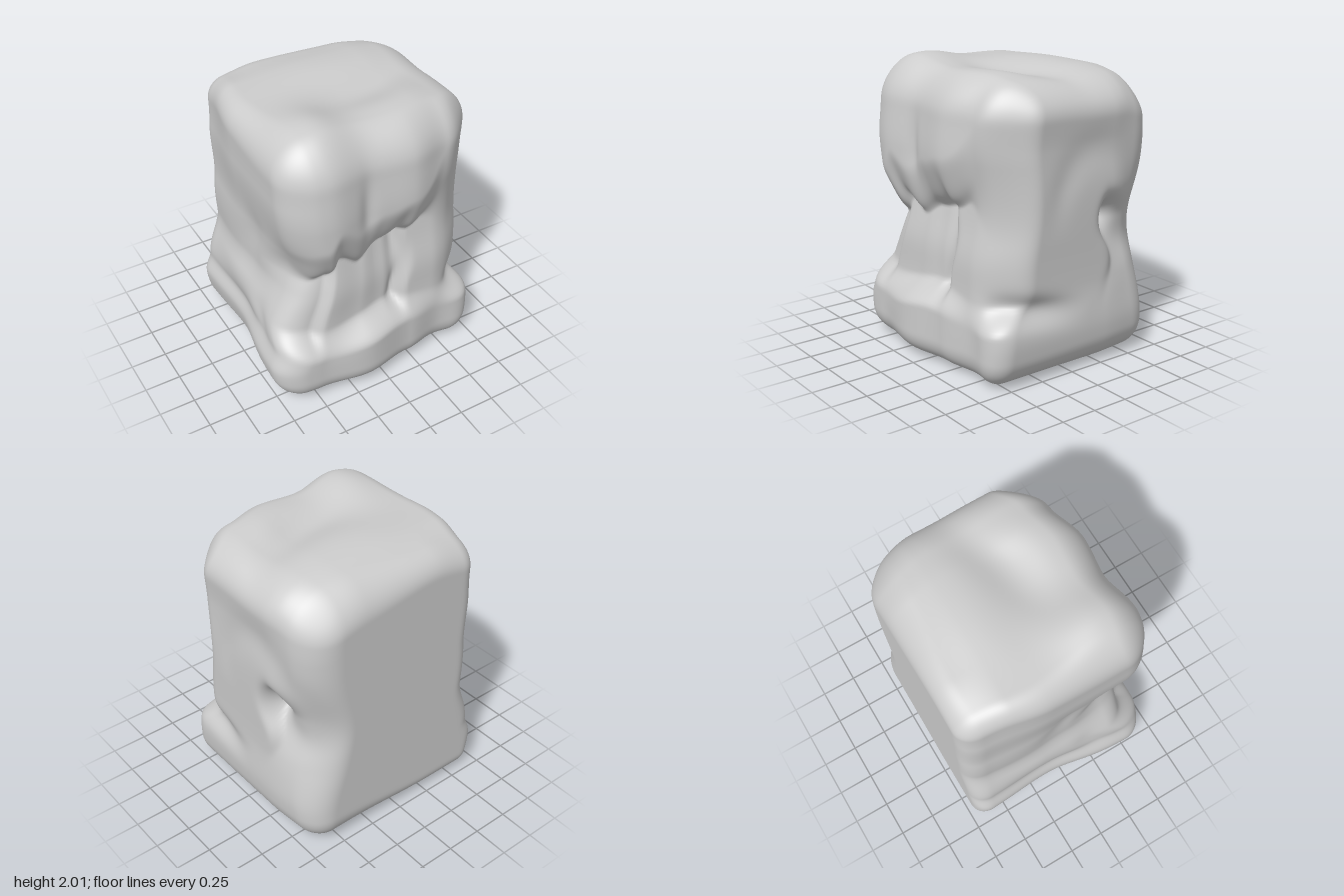
import * as THREE from 'three';
import { mergeVertices } from 'three/addons/utils/BufferGeometryUtils.js';

const H = 0.72; // half width and depth of the undeformed block
const step = THREE.MathUtils.smoothstep;
const mix = THREE.MathUtils.lerp;
const bell = (d, s) => Math.exp(-(d * d) / (s * s));
const skew = (d, neg, pos) => bell(d, d < 0 ? neg : pos);

// Smooth interpolation through [position, value] pairs
function curve(points) {
  return (t) => {
    if (t <= points[0][0]) return points[0][1];
    for (let i = 1; i < points.length; i++) {
      const [a, va] = points[i - 1], [b, vb] = points[i];
      if (t <= b) return mix(va, vb, step(t, a, b));
    }
    return points[points.length - 1][1];
  };
}

// Side widths by height
const leftward = curve([[0, 0.74], [0.27, 0.785], [0.42, 0.74], [0.8, 0.62], [1.1, 0.63], [1.55, 0.68], [1.9, 0.69]]);
const rightward = curve([[0, 0.75], [0.3, 0.775], [0.6, 0.755], [1.2, 0.77], [1.5, 0.765], [1.8, 0.785]]);

// Front relief by x: foot ledge, recessed panel with pillar, overhanging brow
const ledge = curve([[-0.72, 0.66], [-0.45, 0.68], [-0.13, 0.73], [0.2, 0.67], [0.45, 0.62], [0.68, 0.65]]);
const panel = curve([[-0.7, 0.5], [-0.52, 0.5], [-0.42, 0.56], [-0.15, 0.54], [0.06, 0.51], [0.13, 0.49], [0.21, 0.56], [0.4, 0.56], [0.72, 0.45]]);
const brow = curve([[-0.7, 0.63], [-0.4, 0.685], [-0.1, 0.64], [0.18, 0.67], [0.45, 0.6], [0.72, 0.46]]);
const lip = curve([[-0.65, 0.95], [-0.5, 0.98], [-0.37, 1.1], [-0.2, 1.02], [0, 1.1], [0.2, 1.14], [0.5, 1.3]]);

function frontDepth(x, y) {
  const drop = 0.03 * step(y, 1.4, 1.75) + 0.05 * step(y, 1.65, 1.95);
  const crease = 0.025 * bell(x + 0.14, 0.06) * bell(y - 1.42, 0.2);
  const upper = brow(x) - drop - crease;
  // Groove curling down beside the pillar
  const gx = 0.13 + 0.06 * Math.sin((y - 0.6) * 6);
  const groove = 0.04 * bell(x - gx, 0.04) * bell(y - 0.8, 0.25);
  const lower = panel(x) + (0.75 - y) * 0.12 + 0.02 * bell(y - 0.78, 0.18) - groove;
  // Rounded underside of the brow, melting into the pillar on the right
  const fade = step(x, 0.3, 0.55);
  const over = step(y, lip(x) - 0.05 - 0.35 * fade, lip(x) + 0.28 + 0.15 * fade);
  const body = mix(lower, upper, Math.pow(over, mix(0.6, 1, fade)));
  const seam = 0.46 + 0.025 * Math.sin(x * 7 + 1);
  return mix(ledge(x), body, step(y, seam - 0.09, seam + 0.09));
}

// Rounds the box edges, more strongly at the front and the rear right corner
function roundPoint(p, half) {
  const rear = mix(0.15, 0.24, step(p.x, -0.3, 0.5));
  const r = mix(rear, 0.22, step(p.z, -0.4, 0.4)) * mix(0.75, 1, step(p.y, -0.9, -0.3));
  const core = p.clone();
  for (const k of ['x', 'y', 'z']) core[k] = THREE.MathUtils.clamp(p[k], r - half[k], half[k] - r);
  return p.sub(core).setLength(r).add(core);
}

function deform(p) {
  let { x, y, z } = p;
  const front = (z + H) / (2 * H);
  const x0 = x, y0 = y, z0 = z;

  // Front surface, with the brow sagging over the recess
  z += Math.pow(front, 1.6) * (frontDepth(x0, y0) - H);
  const sag = 0.045 * bell(y0 - lip(x0) - 0.07, 0.09) * (1 - step(x0, 0.2, 0.5));
  y -= sag * step(z0, 0.45, 0.7);

  // Waisted sides and corners
  const waist = bell(y0 - 0.9, 0.32);
  if (x0 < 0) {
    const rear = (0.045 + 0.03 * step(y0, 1.2, 1.8)) * step(-z0, 0.1, 0.65);
    const foot = 0.08 * (1 - step(y0, 0.35, 0.65)) * bell(z0 + 0.12, 0.35);
    const cheek = 0.1 * bell(y0 - 0.98, 0.2) * step(z0, 0.15, 0.65);
    x *= (leftward(y0) + 0.04 * waist * step(-z0, -0.1, 0.5) - rear - foot - cheek) / H;
  } else {
    const rear = (0.14 * waist + 0.03 + 0.06 * step(y0, 1.5, 1.9)) * step(-z0, 0.25, 0.7);
    x *= (rightward(y0) - rear) / H;
  }

  // Right side: curled hollow, foot seam and shallow swell
  const side = step(x0, 0.45, 0.7);
  const edge = -0.17 - 0.1 * bell(y0 - 0.72, 0.16);
  const hollow = 0.13 * skew(z0 - edge + 0.07, 0.2, 0.065) * skew(y0 - 0.96, 0.25, 0.13);
  const pit = 0.08 * bell(z0 + 0.25, 0.09) * bell(y0 - 1.02, 0.1);
  const footSeam = 0.06 * bell(y0 - 0.47 - 0.15 * (z0 - 0.35), 0.08) * step(z0, -0.1, 0.5);
  const swirl = 0.015 * bell(Math.hypot(z0 + 0.1, y0 - 1.05) - 0.42, 0.13) * step(y0, 0.9, 1.3);
  x -= side * (hollow + pit + footSeam + swirl);

  // Left side: faint pits
  const leftSide = step(-x0, 0.45, 0.7);
  x += leftSide * 0.02 * (bell(z0 - 0.1, 0.15) * bell(y0 - 1.05, 0.15) + bell(z0 - 0.3, 0.12) * bell(y0 - 0.5, 0.12));

  // Uneven top: raised front left corner, diagonal dip, sloping right rim and rear corners
  const top = step(y0, 1.2, 1.9);
  const diagonal = z0 - 0.1 + 0.3 * (x0 - 0.2);
  y += top * (0.025
    + 0.075 * bell(x0 + 0.38, 0.22) * bell(z0 - 0.4, 0.3)
    + 0.035 * bell(x0 - 0.05, 0.45) * bell(z0 + 0.25, 0.25)
    - 0.04 * bell(x0 - 0.2, 0.4) * bell(diagonal, 0.18)
    + 0.025 * bell(x0 - 0.25, 0.25) * bell(z0 - 0.42, 0.18)
    - 0.035 * step(x0, 0.3, 0.7)
    - (0.03 + 0.05 * step(Math.abs(x0), 0.3, 0.7)) * step(-z0, 0.35, 0.72));

  // Slightly uneven base
  y -= 0.012 * (1 - step(y0, 0.02, 0.2)) * (bell(x0 - 0.55, 0.25) + bell(z0 + 0.25, 0.3) * 0.5);
  return p.set(x, y, z);
}

export function createModel() {
  const half = new THREE.Vector3(H, 0.945, H);
  let geometry = new THREE.BoxGeometry(2 * H, 2 * half.y, 2 * H, 76, 100, 76);
  geometry.deleteAttribute('uv');
  geometry.deleteAttribute('normal');
  geometry = mergeVertices(geometry, 1e-4);

  const pos = geometry.attributes.position;
  const p = new THREE.Vector3();
  for (let i = 0; i < pos.count; i++) {
    roundPoint(p.fromBufferAttribute(pos, i), half);
    p.y += half.y + 0.015;
    deform(p);
    pos.setXYZ(i, p.x, p.y, p.z);
  }
  geometry.computeVertexNormals();

  const block = new THREE.Mesh(geometry, new THREE.MeshStandardMaterial({ color: 0xcccccc }));
  block.name = 'weatheredBlock';
  const group = new THREE.Group();
  group.name = 'stoneBlock';
  group.add(block);
  return group;
}
